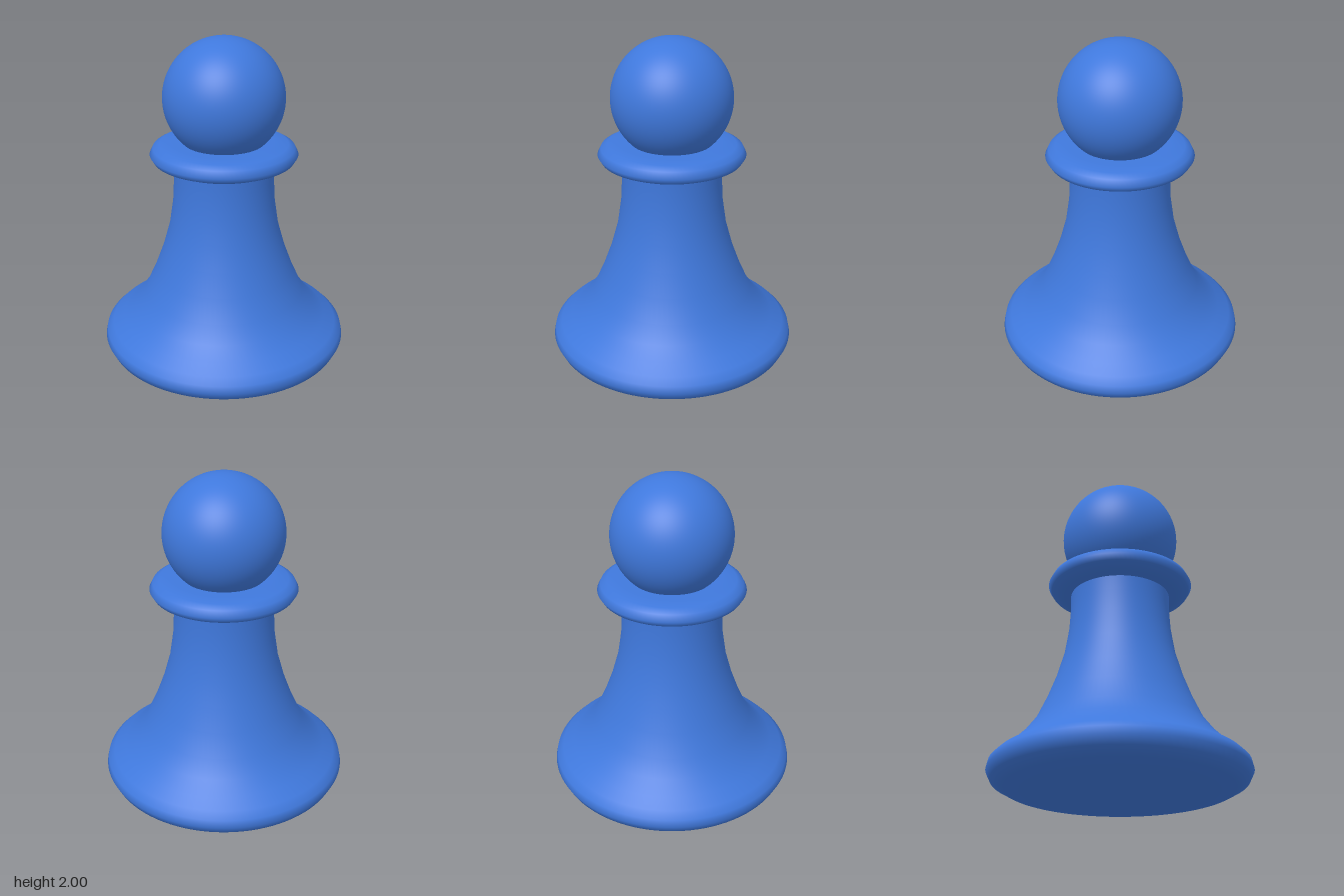
import * as THREE from 'three';

const SEGMENTS = 96;
const material = new THREE.MeshStandardMaterial({ color: 0x3f78dc });

export function createModel() {
  const group = new THREE.Group();

  const add = (name, geometry, y = 0) => {
    const mesh = new THREE.Mesh(geometry, material);
    mesh.name = name;
    mesh.position.y = y;
    group.add(mesh);
    return mesh;
  };
  // Turned part from [radius, height] pairs, listed bottom to top
  const turned = (name, profile) =>
    add(name, new THREE.LatheGeometry(profile.map(([r, y]) => new THREE.Vector2(r, y)), SEGMENTS));

  // Flat underside
  add('underside', new THREE.CircleGeometry(0.57, SEGMENTS).rotateX(Math.PI / 2));

  // Rounded foot flowing into the flared stem
  turned('base', [
    [0.57, 0], [0.67, 0.015], [0.735, 0.05], [0.76, 0.1], [0.75, 0.145],
    [0.71, 0.185], [0.64, 0.23], [0.57, 0.3], [0.495, 0.4], [0.432, 0.54],
    [0.38, 0.68], [0.335, 0.84], [0.311, 1.0], [0.303, 1.14], [0.305, 1.235],
  ]);

  // Collar ring under the head
  turned('collar', [
    [0.28, 1.228], [0.31, 1.228], [0.37, 1.243], [0.425, 1.267], [0.445, 1.3],
    [0.425, 1.34], [0.385, 1.362], [0.3, 1.37], [0, 1.37],
  ]);

  // Ball head
  add('head', new THREE.SphereGeometry(0.362, SEGMENTS, 48), 1.638);

  return group;
}
